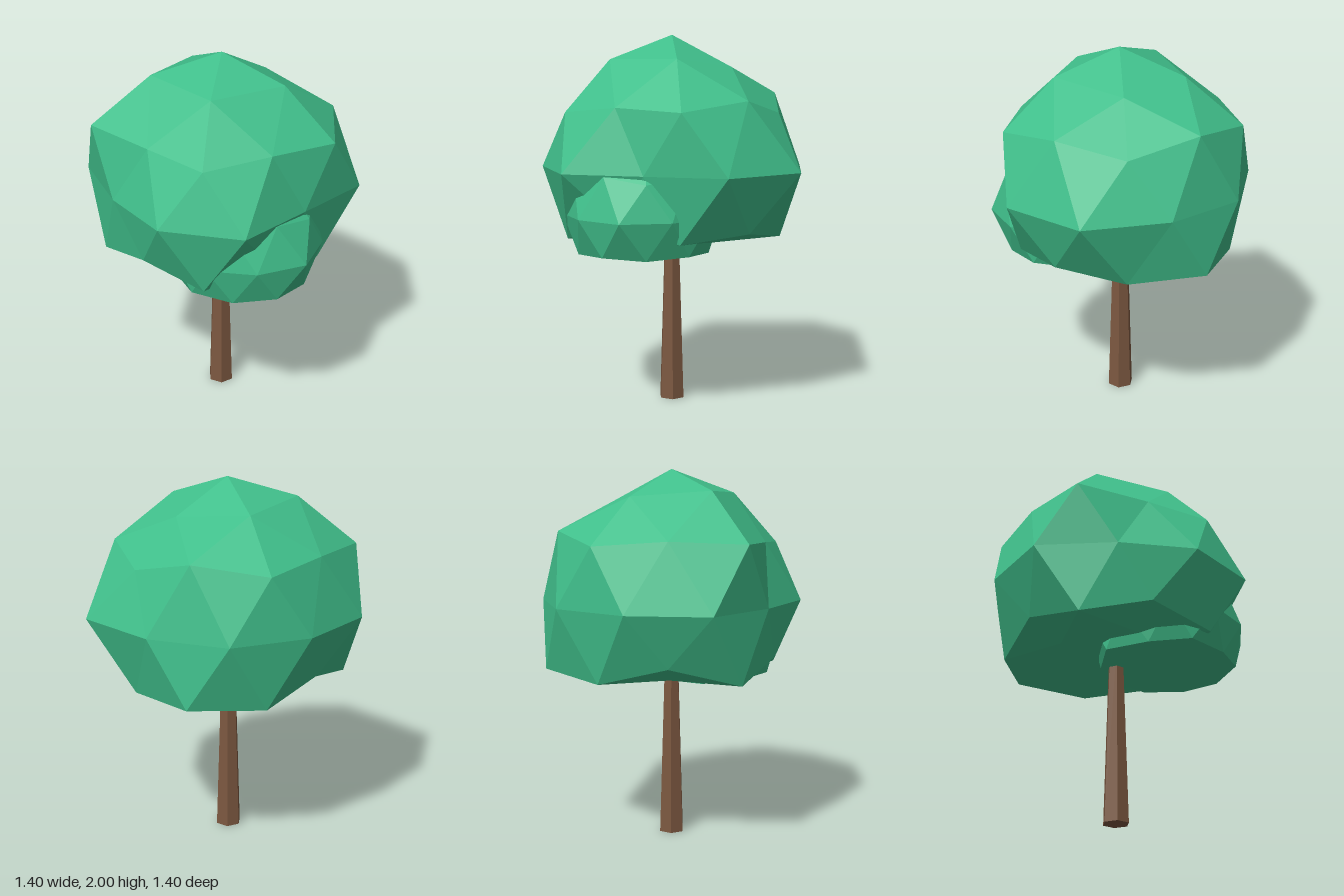
import * as THREE from 'three';

const leafGreen = new THREE.MeshStandardMaterial({ color: 0x40bf8b, flatShading: true });
leafGreen.name = 'leafGreen';
const barkBrown = new THREE.MeshStandardMaterial({ color: 0x7c5840, flatShading: true });
barkBrown.name = 'barkBrown';

// Radial bumps of the crown, one list per ring of vertices, keyed by ring height x 10
const crownBumps = {
  9: [0.97, 0.96, 1, 0.95, 0.89],
  5: [0.91, 0.88, 0.97, 1.04, 1],
  4: [1.02, 0.96, 1.09, 1.05, 0.93],
  0: [0.85, 1.045, 1, 0.9, 1.05, 1, 1.02, 1, 1.11, 1.05],
  '-4': [0.84, 0.92, 0.91, 1.11, 0.98],
  '-5': [0.95, 1, 1.07, 1.03, 1],
};
const clumpBumps = { 0: [1.06, 1, 1, 1, 1, 1, 1, 1, 1, 1], '-4': [1, 1, 1.08, 1, 1] };

// Bump factor for a unit direction
function bumpAt(v, bumps) {
  const key = Math.round(v.y * 10);
  const list = bumps[key];
  if (!list) return 1;
  const turn = (Math.atan2(v.z, v.x) / (2 * Math.PI) + 1) % 1;
  const i = key === 5 || key === -4 || key === 0
    ? Math.floor(turn * list.length)
    : Math.round(turn * list.length);
  return list[i % list.length];
}

// Once-subdivided icosahedron standing on its pole, bumped, with a flattened underside
function foliage(name, radius, floor, bumps) {
  const ring = (y, offset) => Array.from({ length: 5 }, (_, k) => {
    const a = (k * 72 + offset) * Math.PI / 180;
    const r = Math.sqrt(1 - y * y);
    return new THREE.Vector3(r * Math.cos(a), y, r * Math.sin(a));
  });
  const h = 1 / Math.sqrt(5);
  const top = new THREE.Vector3(0, 1, 0), bottom = new THREE.Vector3(0, -1, 0);
  const up = ring(h, 0), low = ring(-h, 36);
  const positions = [];

  const tri = (...corners) => corners.forEach((c) => {
    const p = c.clone().multiplyScalar(radius * bumpAt(c, bumps));
    positions.push(p.x, Math.max(p.y, floor), p.z);
  });
  const mid = (a, b) => a.clone().add(b).normalize();
  const split = (a, b, c) => {
    const ab = mid(a, b), bc = mid(b, c), ca = mid(c, a);
    tri(a, ab, ca);
    tri(ab, b, bc);
    tri(ca, bc, c);
    tri(ab, bc, ca);
  };
  for (let k = 0; k < 5; k++) {
    const n = (k + 1) % 5;
    split(top, up[n], up[k]);
    split(up[k], up[n], low[k]);
    split(low[k], up[n], low[n]);
    split(bottom, low[k], low[n]);
  }
  const geometry = new THREE.BufferGeometry();
  geometry.setAttribute('position', new THREE.Float32BufferAttribute(positions, 3));
  geometry.computeVertexNormals();
  const mesh = new THREE.Mesh(geometry, leafGreen);
  mesh.name = name;
  return mesh;
}

export function createModel() {
  const tree = new THREE.Group();
  tree.name = 'tree';

  // Tapered six-sided trunk, its top hidden in the leaves
  const trunk = new THREE.Mesh(
    new THREE.CylinderGeometry(0.04, 0.072, 1, 6, 1, false, Math.PI / 6), barkBrown);
  trunk.name = 'trunk';
  trunk.position.set(-0.006, 0.5, 0);
  tree.add(trunk);

  // Large crown
  const crown = foliage('crown', 0.7, -0.378, crownBumps);
  crown.position.set(0, 1.3, 0);
  tree.add(crown);

  // Small clump poking out of the crown low at the front
  const clump = foliage('lowerClump', 0.42, -0.2, clumpBumps);
  clump.position.set(0.21, 1.07, 0.17);
  tree.add(clump);

  return tree;
}
